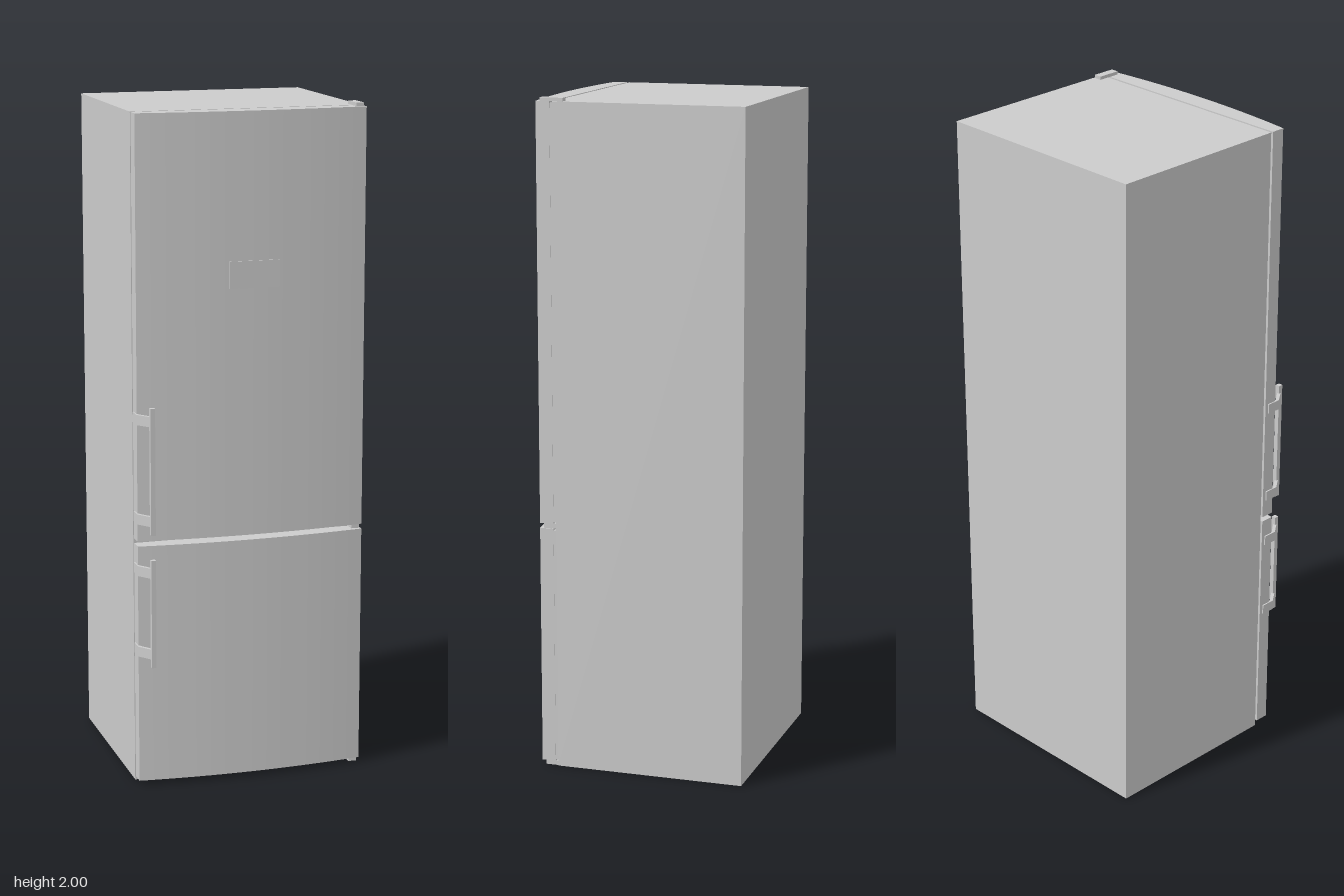
import * as THREE from 'three';

const material = new THREE.MeshStandardMaterial({ color: 0xcccccc, flatShading: true });

function addMesh(parent, name, geometry) {
  const mesh = new THREE.Mesh(geometry, material);
  mesh.name = name;
  parent.add(mesh);
  return mesh;
}

// Box given by its limits along each axis
function addBox(parent, name, [x0, x1], [y0, y1], [z0, z1]) {
  const mesh = addMesh(parent, name, new THREE.BoxGeometry(x1 - x0, y1 - y0, z1 - z0));
  mesh.position.set((x0 + x1) / 2, (y0 + y1) / 2, (z0 + z1) / 2);
  return mesh;
}

// Upright prism from a plan outline of [x, z] points
function addPrism(parent, name, plan, y0, y1) {
  const shape = new THREE.Shape(plan.map(([x, z]) => new THREE.Vector2(x, -z)));
  const geometry = new THREE.ExtrudeGeometry(shape, { depth: y1 - y0, bevelEnabled: false });
  geometry.rotateX(-Math.PI / 2);
  geometry.translate(0, y0, 0);
  return addMesh(parent, name, geometry);
}

// Door plan: flat back, gently bowed front
function doorPlan() {
  const half = 0.345, steps = 16;
  const plan = [[half, 0.239], [-half, 0.239]];
  for (let i = 0; i <= steps; i++) {
    const t = (i / steps) * 2 - 1;
    plan.push([t * half, 0.281 + 0.021 * (1 - t * t)]);
  }
  return plan;
}

// Bar handle held by two bent brackets
function addHandle(parent, name, y0, y1) {
  const handle = new THREE.Group();
  handle.name = name;
  const bracket = [
    [-0.345, 0.25], [-0.349, 0.25], [-0.349, 0.293],
    [-0.32, 0.332], [-0.312, 0.326], [-0.341, 0.288], [-0.341, 0.281], [-0.345, 0.281],
  ];
  for (const y of [y0 + 0.025, y1 - 0.055]) addPrism(handle, 'handleBracket', bracket, y, y + 0.03);
  addBox(handle, 'handleBar', [-0.32, -0.306], [y0, y1], [0.325, 0.339]);
  parent.add(handle);
}

export function createModel() {
  const model = new THREE.Group();
  model.name = 'fridgeFreezer';

  // Cabinet
  addBox(model, 'cabinet', [-0.345, 0.345], [0, 1.99], [-0.341, 0.231]);

  // Doors with their seals and handles
  const doors = [
    { name: 'fridge', y: [0.75, 1.99], grip: [0.78, 1.155] },
    { name: 'freezer', y: [0.014, 0.735], grip: [0.38, 0.705] },
  ];
  for (const { name, y, grip } of doors) {
    const door = new THREE.Group();
    door.name = name + 'Door';
    addPrism(door, 'doorPanel', doorPlan(), ...y);
    addBox(door, 'doorSeal', [-0.334, 0.344], [y[0] + 0.005, y[1] - 0.005], [0.231, 0.239]);
    addHandle(door, name + 'Handle', ...grip);
    model.add(door);
  }

  // Raised control panel on the upper door
  addBox(model, 'controlPanel', [-0.073, 0.077], [1.483, 1.562], [0.296, 0.305]);

  // Hinges above, between and below the doors
  for (const [y0, y1] of [[1.99, 2], [0.735, 0.75], [0, 0.014]]) {
    addBox(model, 'hinge', [0.317, 0.341], [y0, y1], [0.2, 0.27]);
  }
  return model;
}
